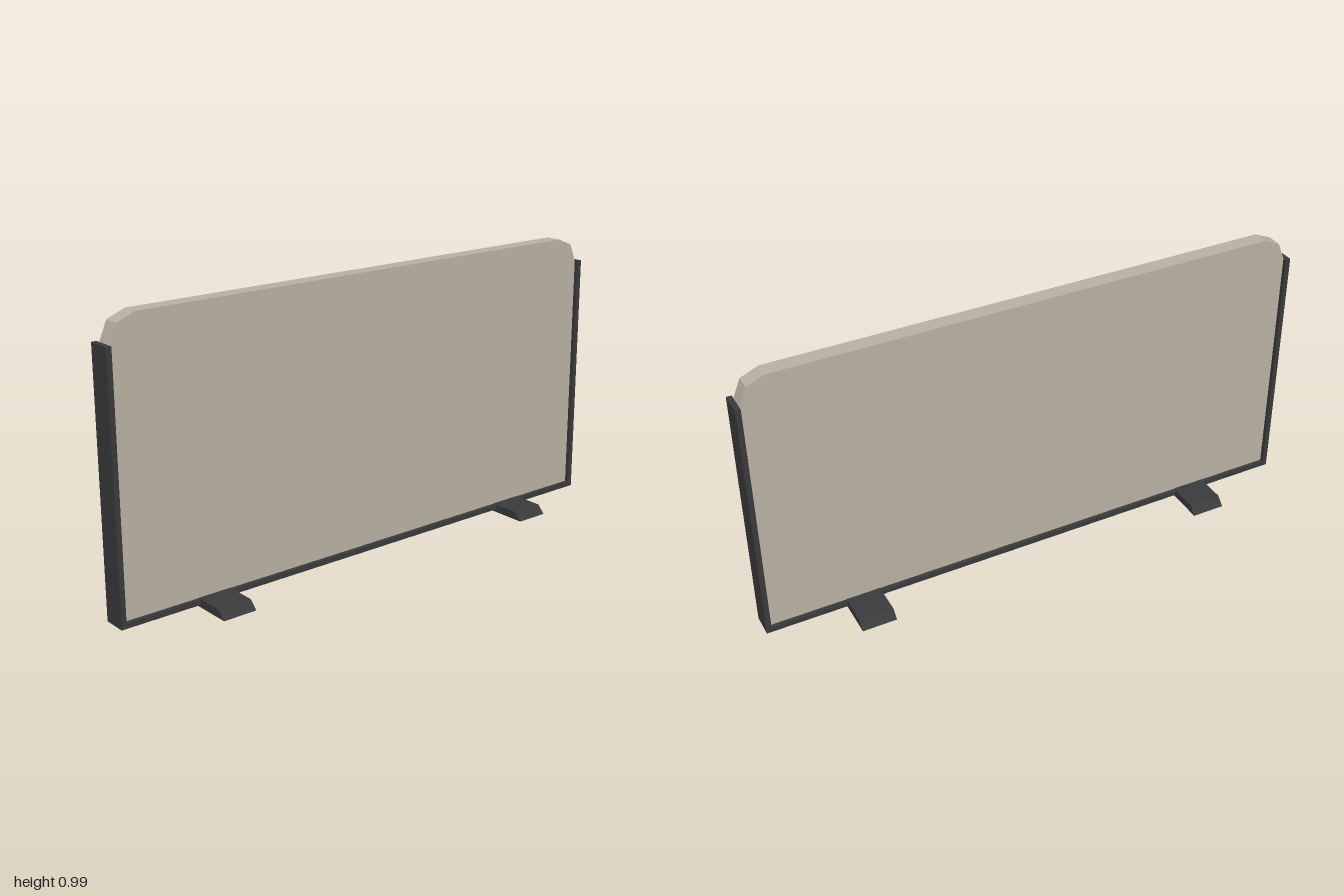
import * as THREE from 'three';

const fabric = new THREE.MeshStandardMaterial({ color: 0xb8b1a2, flatShading: true });
const dark = new THREE.MeshStandardMaterial({ color: 0x3a3a3c, flatShading: true });

// Extrudes a polygon, centred on its depth
function extrude(points, depth) {
  const shape = new THREE.Shape(points.map(([x, y]) => new THREE.Vector2(x, y)));
  const geometry = new THREE.ExtrudeGeometry(shape, { depth, bevelEnabled: false });
  return geometry.translate(0, 0, -depth / 2);
}

function add(parent, name, geometry, material) {
  const mesh = new THREE.Mesh(geometry, material);
  mesh.name = name;
  parent.add(mesh);
  return mesh;
}

export function createModel() {
  const model = new THREE.Group();
  model.name = 'deskDivider';

  // Screen panel with faceted upper corners
  const half = [[0.982, 0.028], [0.982, 0.895], [0.955, 0.959], [0.893, 0.985]];
  const mirrored = half.map(([x, y]) => [-x, y]).reverse();
  add(model, 'panel', extrude([...half, ...mirrored], 0.056), fabric);

  // U-shaped edge frame, open at the top
  const frame = [
    [-1, 0.01], [1, 0.01], [1, 0.897], [0.982, 0.897],
    [0.982, 0.028], [-0.982, 0.028], [-0.982, 0.897], [-1, 0.897],
  ];
  add(model, 'edgeFrame', extrude(frame, 0.085), dark);

  // Feet with sloping ends, running front to back
  const footProfile = [[-0.17, 0], [0.17, 0], [0.142, 0.029], [-0.142, 0.029]];
  for (const side of [-1, 1]) {
    const foot = add(model, side > 0 ? 'leftFoot' : 'rightFoot', extrude(footProfile, 0.122), dark);
    foot.rotation.y = Math.PI / 2;
    foot.position.x = side * 0.652;
  }

  return model;
}
